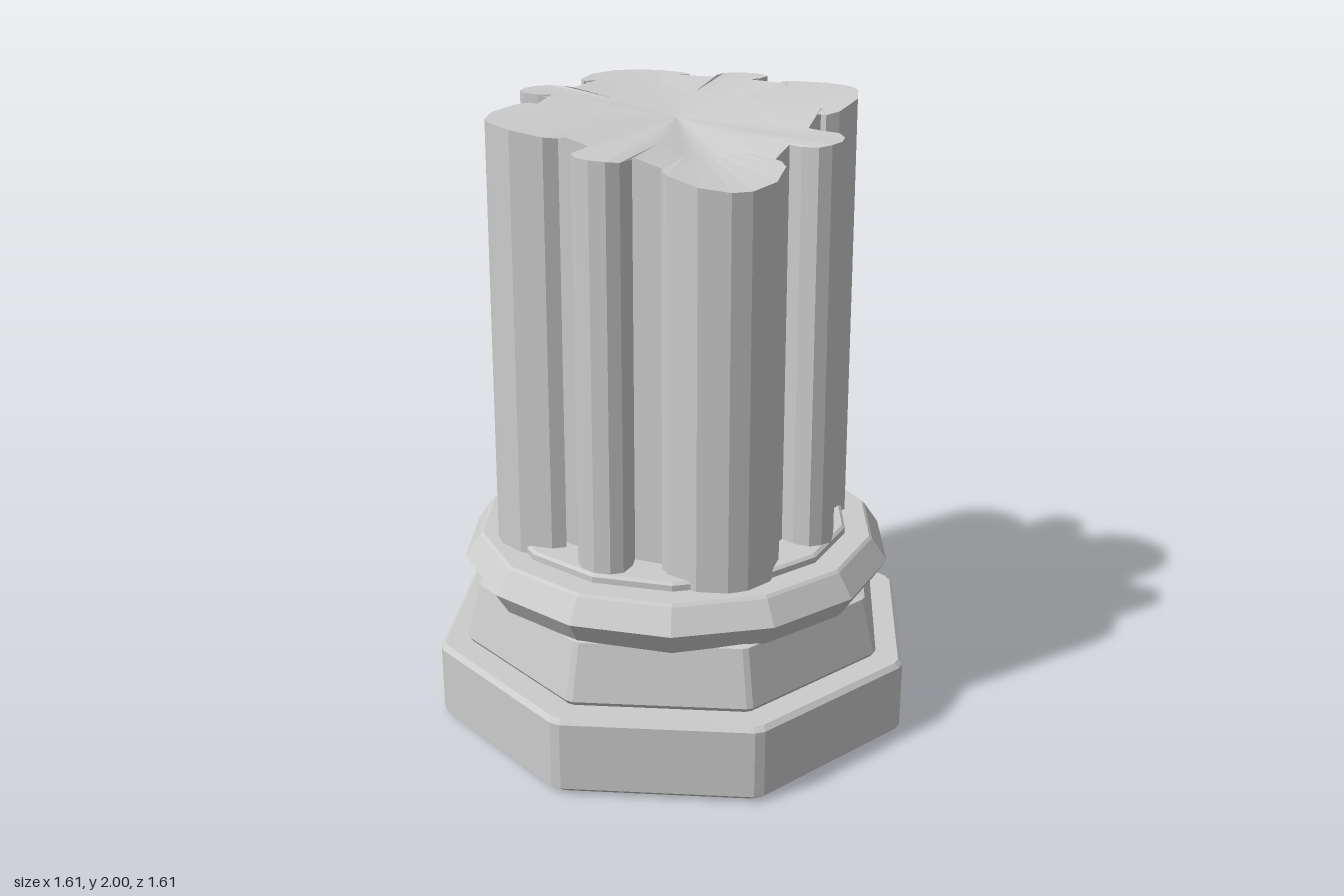
import * as THREE from 'three';

const material = new THREE.MeshStandardMaterial({ color: 0xcccccc, flatShading: true });

// Skin a stack of equal-length rings of [x, y, z]; caps close to a centre point.
function loft(name, rings, bottomY, topY) {
  const pos = [];
  const n = rings[0].length;
  const tri = (a, b, c) => pos.push(...a, ...b, ...c);
  const last = rings.length - 1;
  for (let i = 0; i < n; i++) {
    const j = (i + 1) % n;
    for (let r = 0; r < last; r++) {
      const lo = rings[r], hi = rings[r + 1];
      tri(lo[i], lo[j], hi[j]);
      tri(lo[i], hi[j], hi[i]);
    }
    tri(rings[0][j], rings[0][i], [0, bottomY, 0]);
    tri(rings[last][i], rings[last][j], [0, topY, 0]);
  }
  const geometry = new THREE.BufferGeometry();
  geometry.setAttribute('position', new THREE.Float32BufferAttribute(pos, 3));
  geometry.computeVertexNormals();
  const mesh = new THREE.Mesh(geometry, material);
  mesh.name = name;
  return mesh;
}

// Polygonal moulding from a [radius, y] profile; "cut" chamfers each corner.
function moulding(name, sides, profile, cut = 0) {
  const angles = [];
  for (let i = 0; i < sides; i++) {
    const a = (i / sides) * Math.PI * 2;
    if (cut) angles.push(a - cut, a + cut);
    else angles.push(a);
  }
  const rings = profile.map(([r, y]) => angles.map((a) => [r * Math.sin(a), y, r * Math.cos(a)]));
  return loft(name, rings, profile[0][1], profile[profile.length - 1][1]);
}

// Fluted outline: narrow lobes on the axes, broad lobes on the diagonals.
function flutedOutline() {
  const half = [[0, 0.552], [0.05, 0.54], [0.08, 0.51], [0.08, 0.455], [0.065, 0.41],
    [0.2, 0.4], [0.17, 0.43], [0.205, 0.46], [0.31, 0.478], [0.4, 0.445]];
  const quarter = [...half, ...half.slice(1).reverse().map(([x, z]) => [z, x])];
  const outline = [];
  for (let q = 0; q < 4; q++) {
    for (const [x, z] of quarter) {
      const c = Math.round(Math.cos(q * Math.PI / 2)), s = Math.round(Math.sin(q * Math.PI / 2));
      outline.push([x * c + z * s, z * c - x * s]);
    }
  }
  return outline;
}

// Height of the broken rim, every 45 degrees from the front towards +x.
const rimHeights = [1.89, 1.815, 1.9, 1.995, 2, 2, 1.985, 1.95];
function rimHeight(x, z) {
  const t = ((Math.atan2(x, z) / (Math.PI / 4)) + 8) % 8;
  const i = Math.floor(t), f = t - i;
  const s = f * f * (3 - 2 * f);
  return rimHeights[i % 8] * (1 - s) + rimHeights[(i + 1) % 8] * s;
}

function shaft() {
  const outline = flutedOutline();
  const n = outline.length;
  const bottom = outline.map(([x, z]) => [x, 0.6, z]);
  const top = outline.map(([x, z]) => [x * 0.985, rimHeight(x, z), z * 0.985]);
  // Worn inner ring between the rim and the middle of the break
  const inner = outline.map((_, i) => {
    const a = (i / n) * Math.PI * 2;
    const x = 0.27 * Math.sin(a), z = 0.27 * Math.cos(a);
    return [x, rimHeight(x, z) * 0.6 + 1.925 * 0.4, z];
  });
  return loft('brokenFlutedShaft', [bottom, top, inner], 0.6, 1.93);
}

export function createModel() {
  const group = new THREE.Group();
  group.name = 'brokenColumn';

  // Octagonal foot with softened edges
  group.add(moulding('plinth', 8,
    [[0.78, 0], [0.805, 0.02], [0.805, 0.24], [0.79, 0.255]], 0.02));
  // Tapered octagonal tier
  group.add(moulding('taperedTier', 8,
    [[0.7, 0.25], [0.715, 0.27], [0.67, 0.45], [0.6, 0.47]], 0.015));
  // Many-sided ring that bulges over the tier
  group.add(moulding('collarRing', 14,
    [[0.62, 0.425], [0.66, 0.45], [0.705, 0.522], [0.655, 0.595], [0.645, 0.603]]));
  // Thin disc under the shaft
  group.add(moulding('shaftSeat', 14, [[0.565, 0.59], [0.565, 0.622], [0.555, 0.63]]));

  group.add(shaft());
  return group;
}
